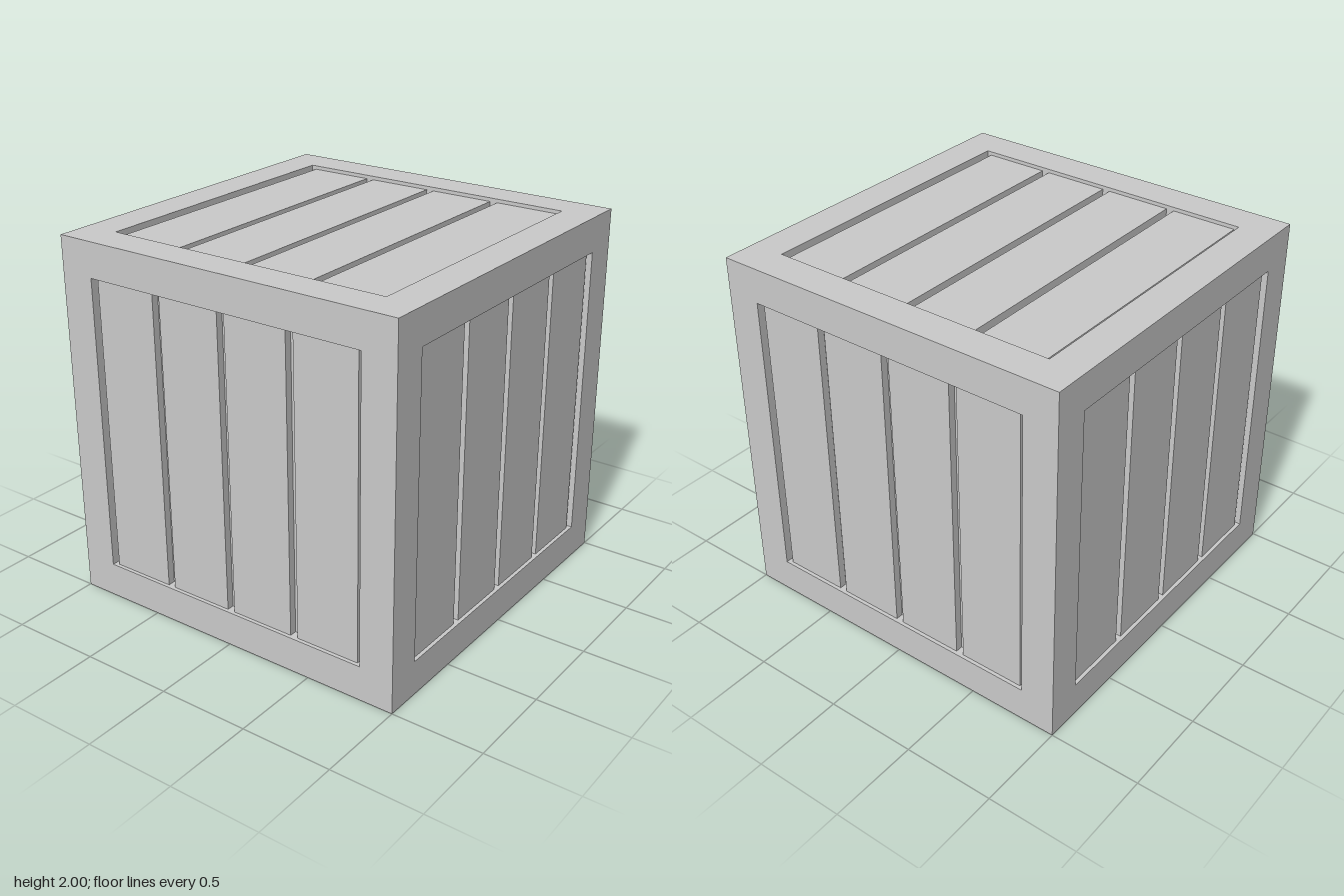
import * as THREE from 'three';

const HALF = 1;          // half the crate's side
const BEAM = 0.19;       // frame beam thickness
const RECESS = 0.02;     // plank faces below the frame
const GROOVE = 0.06;     // groove floors below the frame
const OPEN = 2 * (HALF - BEAM);
const PLANK_WIDTH = 0.36;
const PLANK_PITCH = 0.403;

const material = new THREE.MeshStandardMaterial({ color: 0xcccccc, flatShading: true });

function box(name, w, h, d, x, y, z) {
  const mesh = new THREE.Mesh(new THREE.BoxGeometry(w, h, d), material);
  mesh.name = name;
  mesh.position.set(x, y, z);
  return mesh;
}

// Four planks side by side, facing +z
function plankPanel(name) {
  const panel = new THREE.Group();
  panel.name = name;
  const back = HALF - GROOVE - 0.02;
  const front = HALF - RECESS;
  for (let i = 0; i < 4; i++) {
    const x = (i - 1.5) * PLANK_PITCH;
    panel.add(box('plank', PLANK_WIDTH, OPEN, front - back, x, 0, (front + back) / 2));
  }
  return panel;
}

export function createModel() {
  const crate = new THREE.Group();
  crate.name = 'crate';
  const body = new THREE.Group();
  body.name = 'crateBody';
  body.position.y = HALF;
  crate.add(body);

  // Inner box forms the groove floors
  const inner = 2 * (HALF - GROOVE);
  body.add(box('innerBox', inner, inner, inner, 0, 0, 0));

  // Frame: full-height corner posts with rails between them
  const c = HALF - BEAM / 2;
  for (const a of [-1, 1]) {
    for (const b of [-1, 1]) {
      body.add(box('cornerPost', BEAM, 2 * HALF, BEAM, a * c, 0, b * c));
      body.add(box('crossRail', OPEN, BEAM, BEAM, 0, a * c, b * c));
      body.add(box('sideRail', BEAM, BEAM, OPEN, a * c, b * c, 0));
    }
  }

  // Plank panels on all six sides
  const q = Math.PI / 2;
  const sides = [
    ['frontPlanks', 0, 0], ['leftPlanks', 0, q], ['backPlanks', 0, 2 * q],
    ['rightPlanks', 0, -q], ['topPlanks', -q, 0], ['bottomPlanks', q, 0],
  ];
  for (const [name, rx, ry] of sides) {
    const panel = plankPanel(name);
    panel.rotation.set(rx, ry, 0);
    body.add(panel);
  }
  return crate;
}
